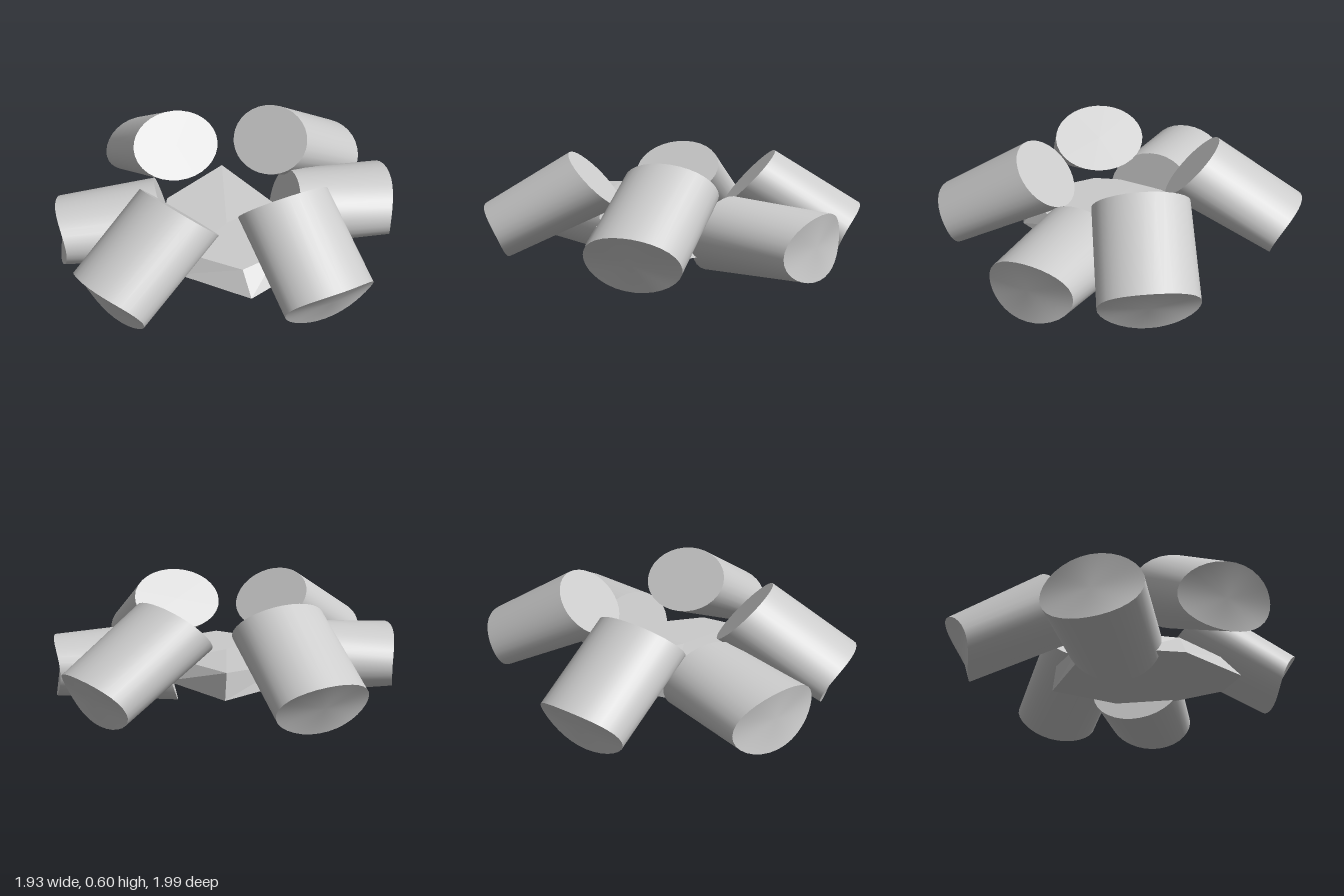
import * as THREE from 'three';

const material = new THREE.MeshStandardMaterial({ color: 0xcccccc });
const V = (x, y, z) => new THREE.Vector3(x, y, z);

// Closed solid between two rings of points; b lies on the side the rings turn anticlockwise around.
function loft(name, a, b, flat = false) {
  const n = a.length, pos = [], index = [];
  const add = p => pos.push(p.x, p.y, p.z) / 3 - 1;
  [...a, ...b].forEach(add);
  for (let i = 0; i < n; i++) {
    const j = (i + 1) % n;
    index.push(i, j, n + j, i, n + j, n + i);
  }
  // caps own their vertices so the rim stays sharp
  for (const [ring, outward] of [[a, false], [b, true]]) {
    const centre = add(ring.reduce((s, p) => s.add(p), V(0, 0, 0)).divideScalar(n));
    const start = pos.length / 3;
    ring.forEach(add);
    for (let i = 0; i < n; i++) {
      const p = start + i, q = start + (i + 1) % n;
      index.push(centre, ...(outward ? [p, q] : [q, p]));
    }
  }
  let geometry = new THREE.BufferGeometry();
  geometry.setAttribute('position', new THREE.Float32BufferAttribute(pos, 3));
  geometry.setIndex(index);
  if (flat) geometry = geometry.toNonIndexed();
  geometry.computeVertexNormals();
  const mesh = new THREE.Mesh(geometry, material);
  mesh.name = name;
  return mesh;
}

// Slanted elliptical ring from a centre and two half axes; saddle pulls its two sides back along the arm
const ellipse = (c, u, v, saddle = 0, n = 32) => Array.from({ length: n }, (_, i) => {
  const t = (i / n) * Math.PI * 2, cos = Math.cos(t);
  const p = c.clone().addScaledVector(u, cos).addScaledVector(v, Math.sin(t));
  p.z -= saddle * cos * cos;
  return p;
});

// Arms point along local +z from their inner end
function upperArm(name, x, z, angle, drift = 0) {
  const u = V(0.245, 0, 0);
  const arm = loft(name,
    ellipse(V(0, 0.465, 0), u, V(0, 0.14, 0.135)),
    ellipse(V(drift, 0.19, 0.521), u, V(0, 0.14, 0.0675), 0.045));
  arm.position.set(x, 0, z);
  arm.rotation.y = angle;
  return arm;
}

function lowerArm(name, x, z, angle) {
  const arm = loft(name,
    ellipse(V(0, 0.202, 0), V(0.245, 0, 0), V(-0.02, 0.2, 0.057)),
    ellipse(V(0, 0.203, 0.582), V(0.245, 0.02, 0.01), V(0, 0.16, 0), 0.045));
  arm.position.set(x, 0, z);
  arm.rotation.y = angle;
  return arm;
}

export function createModel() {
  const group = new THREE.Group();
  group.name = 'radialCylinders';

  // Four raised arms sloping down and outwards
  const side = 1.245;
  group.add(
    upperArm('frontUpperArm', 0.07, 0.405, 0),
    upperArm('backUpperArm', -0.065, -0.41, Math.PI, -0.018),
    upperArm('leftUpperArm', 0.385, -0.015, side),
    upperArm('rightUpperArm', -0.39, -0.005, side + Math.PI));

  // Two low arms on opposite corners
  const low = -0.616;
  group.add(
    lowerArm('frontLowerArm', -0.2, 0.25, low),
    lowerArm('backLowerArm', 0.185, -0.265, low + Math.PI));

  // Bevelled hub plate: [bottom x, bottom z, top x, top z, top y]
  const outline = [
    [0.5, 0.33, 0.4, 0.29, 0.215], [0.52, 0.1, 0.44, 0.08, 0.215],
    [0.33, -0.17, 0.3, -0.15, 0.215], [0.13, -0.31, 0.13, -0.24, 0.215],
    [-0.31, -0.29, -0.3, -0.27, 0.25], [-0.34, 0.14, -0.32, 0.14, 0.215],
    [-0.15, 0.38, -0.15, 0.34, 0.215], [0.1, 0.46, 0.1, 0.4, 0.215],
  ];
  group.add(loft('hubPlate',
    outline.map(p => V(p[0], 0.11, p[1])),
    outline.map(p => V(p[2], p[4], p[3])), true));

  return group;
}
